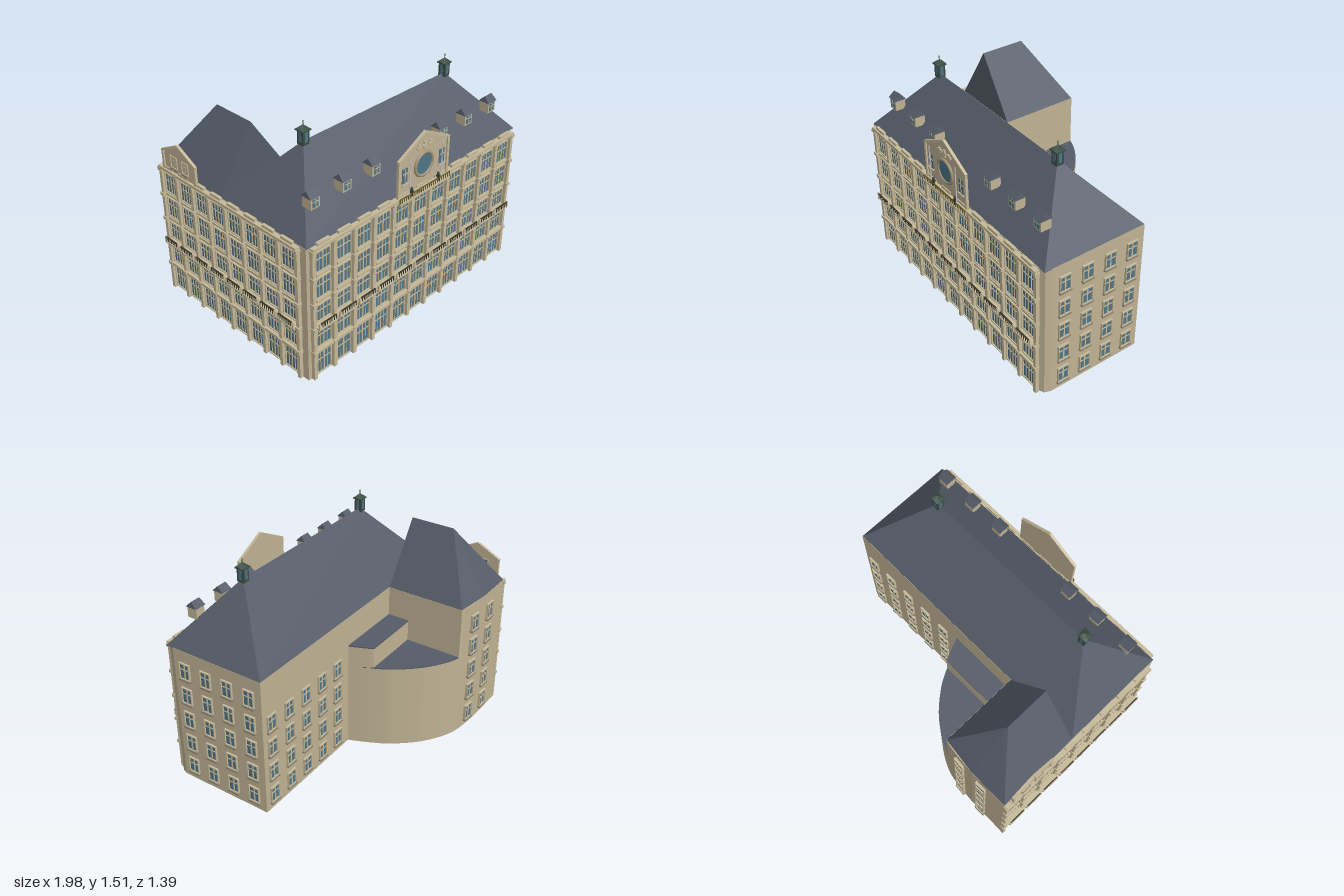
import * as THREE from 'three';
import { mergeGeometries } from 'three/addons/utils/BufferGeometryUtils.js';
import { ConvexGeometry } from 'three/addons/geometries/ConvexGeometry.js';

const WALL = 0xbfb294, TRIM = 0xc6b999, SLATE = 0x555c68, GLASS = 0x4f7386, GREEN = 0x3a4d42, IRON = 0x3b3a30;
const V = (x, y, z) => new THREE.Vector3(x, y, z);

// Collects geometries and merges them into one mesh per part name
function makeKit() {
  const parts = new Map();
  return {
    add(name, color, geo) {
      if (!parts.has(name)) parts.set(name, { color, list: [] });
      const g = geo.index ? geo.toNonIndexed() : geo;
      g.deleteAttribute('uv');
      parts.get(name).list.push(g);
    },
    box(name, color, w, h, d, x, y, z, rz = 0) {
      this.add(name, color, new THREE.BoxGeometry(w, h, d).rotateZ(rz).translate(x, y, z));
    },
    build(groupName) {
      const group = new THREE.Group();
      group.name = groupName;
      for (const [name, { color, list }] of parts) {
        const mesh = new THREE.Mesh(mergeGeometries(list), new THREE.MeshStandardMaterial({ color }));
        mesh.name = name;
        group.add(mesh);
      }
      return group;
    },
  };
}

// Window standing on y0, centred on x; the wall plane is z = 0
function addWindow(kit, x, y0, w, h, panes, sill) {
  const cy = y0 + h / 2, b = 0.006;
  kit.box('windowGlass', GLASS, w, h, 0.006, x, cy, 0.002);
  for (const s of [-1, 1]) {
    kit.box('windowFrames', TRIM, b, h + b, 0.018, x + s * w / 2, cy, 0.005);
    kit.box('windowFrames', TRIM, w, b, 0.018, x, cy + s * h / 2, 0.005);
  }
  for (let i = 1; i < panes; i++)
    kit.box('windowFrames', TRIM, i * 2 === panes ? 0.009 : 0.004, h, 0.013, x - w / 2 + (w * i) / panes, cy, 0.003);
  kit.box('windowFrames', TRIM, w, 0.005, 0.013, x, y0 + h * 0.62, 0.003);
  if (sill) kit.box('windowSills', 0x8d8470, w + 0.012, 0.01, 0.024, x, y0 - 0.007, 0.006);
}

// Plain facade: punched windows with sills
function plainFacade(name, xs, rows) {
  const kit = makeKit();
  for (const x of xs)
    for (let r = 0; r < rows; r++) addWindow(kit, x, 0.055 + r * 0.18, 0.075, 0.11, 2, true);
  return kit.build(name);
}

// Ornate facade: pilasters, string courses, tall windows and a balcony per bay
function ornateFacade(name, count, first, step) {
  const kit = makeKit(), w = step * 0.68;
  const rows = [[0.02, 0.16], [0.225, 0.135], [0.42, 0.12], [0.59, 0.14], [0.775, 0.14]];
  const mid = first + ((count - 1) * step) / 2, len = count * step;
  for (let i = 0; i <= count; i++) {
    const x = first + (i - 0.5) * step;
    kit.box('pilasters', TRIM, 0.024, 0.95, 0.025, x, 0.475, 0.0125);
    for (const y of [0.205, 0.385, 0.565, 0.75, 0.94])
      kit.box('pilasterCapitals', TRIM, 0.034, 0.022, 0.034, x, y, 0.017);
  }
  kit.box('stringCourse', TRIM, len, 0.02, 0.028, mid, 0.205, 0.014);
  kit.box('topCornice', TRIM, len + 0.02, 0.02, 0.032, mid, 0.955, 0.016);
  for (let i = 0; i < count; i++) {
    const x = first + i * step;
    rows.forEach(([y, h]) => addWindow(kit, x, y, w, h, 4, false));
    for (const y of [0.575, 0.76]) kit.box('spandrels', TRIM, w, 0.014, 0.018, x, y, 0.009);
    kit.box('eaveBlocks', TRIM, step * 0.6, 0.018, 0.02, x, 0.974, 0.012);
    // balcony slab, brackets and balustrade
    const bw = step * 0.9;
    kit.box('balconySlab', TRIM, bw, 0.01, 0.056, x, 0.397, 0.028);
    kit.box('balconyRail', IRON, bw, 0.007, 0.008, x, 0.434, 0.05);
    for (const s of [-1, 1]) {
      kit.box('balconyBrackets', TRIM, 0.012, 0.022, 0.04, x + s * bw * 0.42, 0.381, 0.02);
      kit.box('balconyPosts', TRIM, 0.01, 0.04, 0.01, x + s * bw * 0.47, 0.42, 0.05);
    }
    for (let k = 0; k < 8; k++)
      kit.box('balconyBalusters', IRON, 0.004, 0.032, 0.005, x + bw * ((k + 0.5) / 8 - 0.5), 0.417, 0.05);
  }
  return kit.build(name);
}

// Thin gable wall with raking mouldings, springing from y0
function addGable(kit, cx, half, y0, eave, apex) {
  const s = new THREE.Shape([[-half, y0], [half, y0], [half, eave], [0, apex], [-half, eave]]
    .map(([x, y]) => new THREE.Vector2(x + cx, y)));
  kit.add('gableWall', WALL, new THREE.ExtrudeGeometry(s, { depth: 0.008, bevelEnabled: false }));
  const rise = apex - eave, run = Math.hypot(half, rise), a = Math.atan2(rise, half);
  for (const m of [-1, 1]) {
    kit.box('gableMoulding', TRIM, run, 0.014, 0.018, cx + m * half / 2, eave + rise / 2 - 0.007, 0.01, -m * a);
    kit.box('gablePilasters', TRIM, 0.018, eave - y0, 0.016, cx + m * (half - 0.009), (eave + y0) / 2, 0.01);
  }
}

// Prism over a ground outline of [x, z] points, from y0 to y1
function prism(outline, y0, y1) {
  const s = new THREE.Shape(outline.map(([x, z]) => new THREE.Vector2(x, -z)));
  return new THREE.ExtrudeGeometry(s, { depth: y1 - y0, bevelEnabled: false }).rotateX(-Math.PI / 2).translate(0, y0, 0);
}

export function createModel() {
  const model = new THREE.Group();
  model.name = 'cornerBuilding';
  const kit = makeKit();

  // Main block with a cut front corner
  kit.add('mainWalls', WALL, prism([[-0.93, 0.63], [0.92, 0.63], [0.965, 0.61], [0.98, 0.57], [0.98, -0.1], [-0.93, -0.1]], 0, 0.97));

  // Rounded rear wing: low part, tall part and stepped part share one curve
  const curve = new THREE.SplineCurve([[-0.65, -0.68], [-0.4, -0.65], [-0.2, -0.54], [-0.05, -0.38], [0.03, -0.24], [0.09, -0.1]]
    .map(([x, z]) => new THREE.Vector2(x, z))).getPoints(40).map(p => [p.x, p.y]);
  kit.add('rearWingLow', WALL, prism([[-0.93, -0.1], [-0.93, -0.68], ...curve], 0, 0.605));
  const tall = curve.filter(p => p[0] < -0.4);
  kit.add('rearWingTall', WALL, prism([[-0.93, -0.1], [-0.93, -0.68], ...tall, [-0.4, -0.65], [-0.4, -0.1]], 0.6, 0.97));
  const low = [[-0.4, -0.1], [-0.4, -0.65], ...curve.filter(p => p[0] > -0.4)];
  kit.add('lowRoof', SLATE, prism(low, 0.605, 0.613));
  const step = [[-0.4, -0.1], [-0.4, -0.255], [0.022, -0.255], ...curve.filter(p => p[1] > -0.255)];
  kit.add('rearStep', WALL, prism(step, 0.6, 0.755));
  kit.add('stepRoof', SLATE, prism(step, 0.755, 0.763));

  // Hipped slate roofs
  kit.add('mainRoof', SLATE, new ConvexGeometry([V(-0.93, 0.968, 0.635), V(0.98, 0.968, 0.625), V(0.98, 0.968, -0.1),
    V(-0.93, 0.968, -0.1), V(-0.605, 1.38, 0.28), V(0.635, 1.38, 0.28)]));
  kit.add('wingRoof', SLATE, new ConvexGeometry([V(-0.93, 0.968, -0.1), V(-0.93, 0.968, -0.68), V(-0.65, 0.968, -0.68),
    V(-0.4, 0.968, -0.65), V(-0.4, 0.968, -0.1), V(-0.67, 1.38, -0.1), V(-0.67, 1.38, -0.41)]));

  // Roof dormers
  for (const x of [-0.775, -0.525, -0.285, 0.325, 0.57, 0.81]) {
    kit.box('dormerWalls', WALL, 0.07, 0.075, 0.07, x, 1.165, 0.515);
    kit.box('dormerGlass', GLASS, 0.044, 0.052, 0.004, x, 1.165, 0.551);
    kit.box('dormerBars', TRIM, 0.005, 0.052, 0.006, x, 1.165, 0.552);
    kit.box('dormerBars', TRIM, 0.044, 0.005, 0.006, x, 1.175, 0.552);
    const pts = [];
    for (const m of [-1, 1]) {
      pts.push(V(x + m * 0.042, 1.2, 0.475), V(x + m * 0.042, 1.2, 0.557), V(x + m * 0.036, 1.24, 0.516));
    }
    kit.add('dormerRoofs', SLATE, new ConvexGeometry(pts));
  }

  // Ridge lanterns
  for (const x of [-0.605, 0.635]) {
    kit.box('lanternBody', GREEN, 0.05, 0.09, 0.05, x, 1.405, 0.28);
    for (const m of [-1, 1]) {
      kit.box('lanternGlass', GLASS, 0.022, 0.065, 0.004, x, 1.41, 0.28 + m * 0.025);
      kit.box('lanternGlass', GLASS, 0.004, 0.065, 0.022, x + m * 0.025, 1.41, 0.28);
    }
    kit.box('lanternEave', GREEN, 0.066, 0.008, 0.066, x, 1.452, 0.28);
    kit.add('lanternRoof', GREEN, new THREE.ConeGeometry(0.046, 0.03, 4).rotateY(Math.PI / 4).translate(x, 1.47, 0.28));
    kit.add('lanternFinial', GREEN, new THREE.CylinderGeometry(0.003, 0.003, 0.04, 6).translate(x, 1.49, 0.28));
  }
  model.add(kit.build('shell'));

  // Street fronts and plain sides; each is built facing +z and turned into place
  const place = (g, x, z, ry) => {
    g.position.set(x, 0, z);
    g.rotation.y = ry;
    model.add(g);
  };
  place(ornateFacade('frontFacade', 11, -0.81, 0.1655), 0, 0.63, 0);
  place(ornateFacade('rightFacade', 8, -0.592, 0.155), -0.93, 0, -Math.PI / 2);
  place(plainFacade('leftFacade', [-0.485, -0.32, -0.155, 0.01], 5), 0.98, 0, Math.PI / 2);
  place(plainFacade('backFacade', [-0.9, -0.73, -0.56, -0.39, -0.22], 4), 0, -0.1, Math.PI);
  place(plainFacade('wingWindowsOuter', [0], 5), -0.735, -0.682, Math.PI);
  place(plainFacade('wingWindowsInner', [0], 5), -0.54, -0.676, Math.PI - 0.09);

  // Front gable with round window, flagpoles, urns and railing
  const fg = makeKit(), cx = 0.023;
  addGable(fg, cx, 0.23, 0.95, 1.22, 1.34);
  fg.add('roundGlass', GLASS, new THREE.CylinderGeometry(0.07, 0.07, 0.008, 32).rotateX(Math.PI / 2).translate(cx, 1.115, 0.01));
  fg.add('roundFrame', 0xa09478, new THREE.TorusGeometry(0.077, 0.011, 8, 36).translate(cx, 1.115, 0.012));
  for (const dx of [-0.05, 0, 0.05]) {
    fg.box('gableOrnament', TRIM, 0.042, 0.016, 0.01, cx + dx, 1.244, 0.012);
    fg.box('gableOrnament', TRIM, 0.016, dx ? 0.036 : 0.05, 0.01, cx + dx, 1.244, 0.012);
  }
  for (const m of [-1, 1]) {
    const x = cx + m * 0.168;
    fg.box('gableWindowGlass', GLASS, 0.046, 0.1, 0.006, x, 1.1, 0.009);
    fg.box('gableWindowBars', TRIM, 0.006, 0.1, 0.01, x, 1.1, 0.01);
    fg.box('gableWindowBars', TRIM, 0.046, 0.006, 0.01, x, 1.115, 0.01);
    fg.box('gableWindowSill', TRIM, 0.06, 0.01, 0.02, x, 1.045, 0.01);
    fg.add('flagpoles', 0xcccccc, new THREE.CylinderGeometry(0.003, 0.004, 0.27, 8).translate(cx + m * 0.145, 1.095, 0.032));
    const urn = [[0, 0], [0.012, 0], [0.007, 0.012], [0.014, 0.03], [0.006, 0.044], [0.009, 0.05], [0, 0.06]];
    fg.add('urns', IRON, new THREE.LatheGeometry(urn.map(([r, y]) => new THREE.Vector2(r, y)), 10)
      .translate(cx + m * 0.123, 0.955, 0.03));
  }
  fg.box('gableBalcony', TRIM, 0.46, 0.014, 0.04, cx, 0.933, 0.02);
  fg.box('gableRail', 0x6b6034, 0.46, 0.006, 0.006, cx, 0.97, 0.034);
  for (let i = 0; i <= 24; i++)
    fg.box('gableBalusters', 0x6b6034, 0.005, 0.034, 0.005, cx - 0.228 + i * 0.019, 0.953, 0.034);
  place(fg.build('frontGable'), 0, 0.638, 0);

  // Smaller gable over the side street
  const sg = makeKit();
  addGable(sg, -0.465, 0.165, 0.95, 1.1, 1.185);
  for (const x of [-0.52, -0.41]) addWindow(sg, x, 1, 0.06, 0.08, 2, true);
  place(sg.build('sideGable'), -0.938, 0, -Math.PI / 2);

  return model;
}
